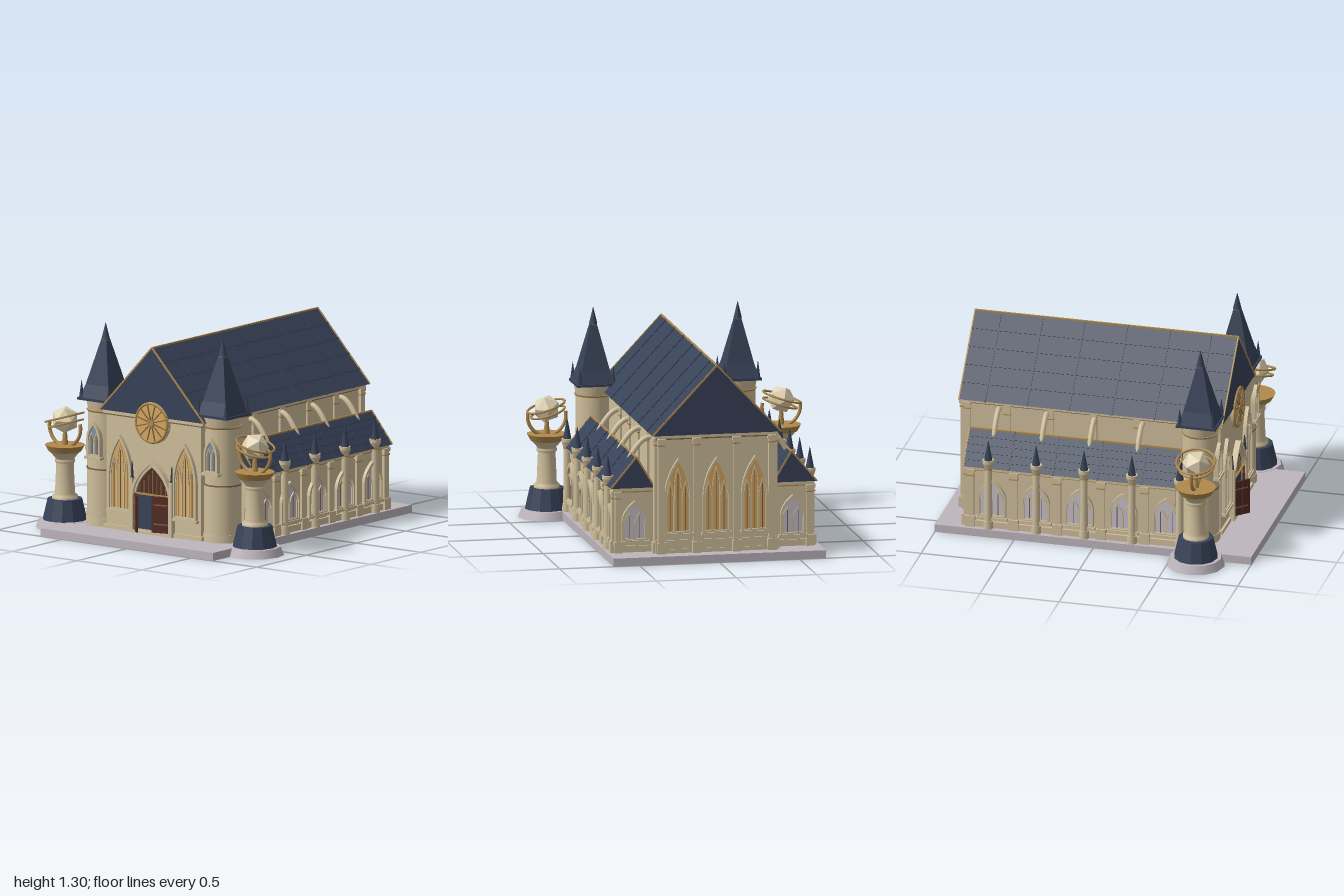
import * as THREE from 'three';

const mat = (name, color) => {
  const m = new THREE.MeshStandardMaterial({ color });
  m.name = name;
  return m;
};

export function createModel() {
  const root = new THREE.Group();
  root.name = 'cathedral';
  const stone = mat('cream stone', 0xcfbe9b), slate = mat('navy slate', 0x384258), gold = mat('gold', 0xb08a4c);
  const amber = mat('amber glass', 0xd6a760), lilac = mat('lilac glass', 0xc6bfca), blue = mat('blue glass', 0x7d94b4);
  const wood = mat('brown wood', 0x552c24), paving = mat('grey paving', 0xbdb6bd), trim = mat('dark trim', 0x7a6244);
  const crystal = mat('pale crystal', 0xe0d3b4);

  const add = (parent, name, geo, m, x = 0, y = 0, z = 0) => {
    const o = new THREE.Mesh(geo, m);
    o.name = name;
    o.position.set(x, y, z);
    parent.add(o);
    return o;
  };
  const group = (name, x = 0, y = 0, z = 0, ry = 0, parent = root) => {
    const g = new THREE.Group();
    g.name = name;
    g.position.set(x, y, z);
    g.rotation.y = ry;
    parent.add(g);
    return g;
  };
  // box given by its bounds
  const box = (p, name, m, x0, x1, y0, y1, z0, z1) =>
    add(p, name, new THREE.BoxGeometry(x1 - x0, y1 - y0, z1 - z0), m, (x0 + x1) / 2, (y0 + y1) / 2, (z0 + z1) / 2);
  const cyl = (p, name, m, rt, rb, y0, y1, x = 0, z = 0, n = 24) =>
    add(p, name, new THREE.CylinderGeometry(rt, rb, y1 - y0, n), m, x, (y0 + y1) / 2, z);
  // bar from a to b in the xy plane, with depth in z
  const bar = (p, name, m, a, b, z, thick, depth) => {
    const dx = b[0] - a[0], dy = b[1] - a[1];
    const o = add(p, name, new THREE.BoxGeometry(Math.hypot(dx, dy), thick, depth), m, (a[0] + b[0]) / 2, (a[1] + b[1]) / 2, z);
    o.rotation.z = Math.atan2(dy, dx);
    return o;
  };

  // pointed arch outline and windows built from it
  const arch = (path, w, h, s, y0 = 0, x = 0) => {
    path.moveTo(x - w, y0);
    path.lineTo(x + w, y0);
    path.lineTo(x + w, s);
    path.quadraticCurveTo(x + w * 0.95, s + (h - s) * 0.55, x, h);
    path.quadraticCurveTo(x - w * 0.95, s + (h - s) * 0.55, x - w, s);
    path.closePath();
    return path;
  };
  const archFrame = (p, name, m, w, h, s, t, z0, depth, x = 0, y0 = 0) => {
    const shape = arch(new THREE.Shape(), w, h, s, y0, x);
    shape.holes.push(arch(new THREE.Path(), w - t, h - t * 1.7, s, y0 + t, x));
    return add(p, name, new THREE.ExtrudeGeometry(shape, { depth, bevelEnabled: false, curveSegments: 8 }), m, 0, 0, z0);
  };
  const pane = (p, name, m, w, h, s, z, y0 = 0) =>
    add(p, name, new THREE.ShapeGeometry(arch(new THREE.Shape(), w, h, s, y0), 8), m, 0, 0, z);
  const lancetWindow = (x, y, z, ry, w, h, glass, lancets) => {
    const g = group('pointedWindow', x, y, z, ry), s = h * 0.5, t = 0.013;
    pane(g, 'glass', glass, w - 0.005, h - 0.01, s, 0.006);
    archFrame(g, 'windowFrame', stone, w, h, s, t, -0.01, 0.032);
    const lw = (w - t) / lancets;
    for (let i = 0; i < lancets; i++) {
      const lx = (i - (lancets - 1) / 2) * 2 * lw, mid = lancets === 3 && i === 1;
      archFrame(g, 'lancet', stone, lw, h * (mid ? 0.88 : 0.7), h * (mid ? 0.6 : 0.42), 0.006, 0.004, 0.01, lx, 0.01);
      box(g, 'leadBar', trim, lx - 0.002, lx + 0.002, 0.015, h * (mid ? 0.8 : 0.62), 0.005, 0.01);
    }
    box(g, 'sill', stone, -w - 0.01, w + 0.01, -0.014, 0.004, -0.01, 0.03);
  };

  // gabled roof with battens, seams and gold edging
  const gableRoof = (name, cx, halfL, halfR, y0, y1, z0, z1, rows, seams) => {
    const g = group(name);
    const L = [cx - halfL, y0], R = [cx + halfR, y0], T = [cx, y1];
    const shape = new THREE.Shape([L, R, T].map(([x, y]) => new THREE.Vector2(x, y)));
    add(g, 'roofBody', new THREE.ExtrudeGeometry(shape, { depth: z1 - z0, bevelEnabled: false }), slate, 0, 0, z0);
    for (const E of [L, R]) {
      for (let i = 1; i < rows; i++) {
        const t = i / rows, x = E[0] + (T[0] - E[0]) * t, y = E[1] + (T[1] - E[1]) * t;
        const b = box(g, 'batten', slate, x - 0.006, x + 0.006, y - 0.005, y + 0.005, z0, z1);
        b.rotation.z = Math.atan2(T[1] - E[1], T[0] - E[0]);
      }
      for (const z of seams) bar(g, 'roofSeam', slate, E, T, z, 0.012, 0.008);
      for (const z of [z0, z1]) bar(g, 'gableTrim', gold, E, T, z, 0.01, 0.008);
    }
    box(g, 'ridge', gold, cx - 0.005, cx + 0.005, y1 - 0.006, y1 + 0.004, z0, z1);
    return g;
  };
  const pilaster = (x, y0, y1, z, w, d, ry) => {
    const g = group('pilaster', x, 0, z, ry);
    box(g, 'shaft', stone, -w / 2, w / 2, y0, y1, -0.01, d);
    box(g, 'foot', stone, -w / 2 - 0.008, w / 2 + 0.008, y0, y0 + 0.07, -0.01, d + 0.01);
    box(g, 'capLine', gold, -w / 2 - 0.004, w / 2 + 0.004, y1 - 0.035, y1 - 0.028, -0.01, d + 0.004);
    box(g, 'cap', stone, -w / 2 - 0.006, w / 2 + 0.006, y1 - 0.012, y1 + 0.01, -0.01, d + 0.006);
  };

  // base and nave
  box(root, 'basePlate', paving, -0.665, 0.665, 0, 0.05, -1, 1);
  box(root, 'naveWalls', stone, -0.365, 0.365, 0.05, 0.79, -0.89, 0.73);
  box(root, 'navePlinth', stone, -0.38, 0.38, 0.05, 0.075, -0.905, 0.745);
  box(root, 'backPlinth', stone, -0.378, 0.378, 0.075, 0.13, -0.9, -0.8);
  box(root, 'naveCornice', stone, -0.385, 0.385, 0.765, 0.79, -0.9, 0.742);
  box(root, 'corniceLine', trim, -0.376, 0.376, 0.757, 0.765, -0.897, 0.738);
  gableRoof('naveRoof', 0, 0.403, 0.403, 0.785, 1.213, -0.915, 0.748, 5, [0.58, 0.32, 0.05, -0.22, -0.485, -0.75]);

  // back wall
  for (const x of [-0.24, 0, 0.24]) lancetWindow(x, 0.17, -0.89, Math.PI, 0.085, 0.47, amber, 3);
  for (const x of [-0.345, -0.125, 0.125, 0.345]) pilaster(x, 0.05, 0.755, -0.89, 0.04, 0.025, Math.PI);

  // rose window
  const rose = group('roseWindow', 0, 0.745, 0.735);
  const disc = (name, m, r, z) => add(rose, name, new THREE.CylinderGeometry(r, r, 0.02, 40).rotateX(Math.PI / 2), m, 0, 0, z);
  disc('roseSurround', stone, 0.13, 0.004);
  disc('roseGlass', amber, 0.117, 0.009);
  add(rose, 'roseRing', new THREE.TorusGeometry(0.12, 0.009, 8, 40), gold, 0, 0, 0.016);
  for (let i = 0; i < 6; i++) {
    add(rose, 'spoke', new THREE.BoxGeometry(0.23, 0.006, 0.008), trim, 0, 0, 0.02).rotation.z = (i * Math.PI) / 6 + 0.26;
  }
  disc('hub', gold, 0.02, 0.018);

  // main doorway
  const portal = group('mainDoorway', 0, 0.05, 0.73);
  archFrame(portal, 'outerArch', stone, 0.155, 0.47, 0.23, 0.018, -0.01, 0.045);
  archFrame(portal, 'innerArch', stone, 0.14, 0.44, 0.23, 0.012, -0.01, 0.03);
  pane(portal, 'tympanum', wood, 0.132, 0.425, 0.23, 0.005);
  box(portal, 'darkInterior', slate, -0.11, 0.11, 0.02, 0.24, 0.002, 0.008);
  box(portal, 'transom', gold, -0.13, 0.13, 0.24, 0.25, 0, 0.02);
  for (let i = -3; i <= 3; i++) {
    box(portal, 'tympanumBar', trim, i * 0.033 - 0.003, i * 0.033 + 0.003, 0.25, 0.4 - Math.abs(i) * 0.035, 0.004, 0.012);
  }
  for (const [side, angle] of [[-1, -0.8], [1, 0.25]]) {
    const leaf = group('doorLeaf', side * 0.132, 0.02, 0.018, angle, portal);
    const s = (a, b) => [Math.min(-side * a, -side * b), Math.max(-side * a, -side * b)];
    box(leaf, 'doorPanel', wood, ...s(0, 0.115), 0, 0.225, -0.007, 0.007);
    for (const y of [0.05, 0.17]) box(leaf, 'hingeStrap', trim, ...s(0.005, 0.1), y, y + 0.008, -0.01, 0.01);
    for (const a of [0.03, 0.06, 0.09]) box(leaf, 'plankGap', trim, ...s(a, a + 0.002), 0.005, 0.22, -0.008, 0.008);
  }

  for (const s of [-1, 1]) {
    const out = (s * Math.PI) / 2;
    // facade windows and portal pinnacles
    lancetWindow(s * 0.25, 0.17, 0.73, 0, 0.09, 0.47, amber, 3);
    box(root, 'portalPier', stone, s * 0.153 - 0.012, s * 0.153 + 0.012, 0.05, 0.39, 0.72, 0.765);
    cyl(root, 'portalPinnacle', slate, 0.003, 0.013, 0.39, 0.49, s * 0.153, 0.748, 4);

    // round tower with steep square roof
    const t = group('tower', s * 0.452, 0, 0.625);
    cyl(t, 'towerFoot', stone, 0.12, 0.122, 0.05, 0.1);
    cyl(t, 'lowerShaft', stone, 0.115, 0.116, 0.1, 0.4);
    cyl(t, 'beltLine', trim, 0.117, 0.117, 0.398, 0.406);
    cyl(t, 'upperShaft', stone, 0.108, 0.11, 0.406, 0.76);
    cyl(t, 'capLine', gold, 0.117, 0.113, 0.755, 0.765);
    cyl(t, 'towerCap', stone, 0.12, 0.108, 0.765, 0.83);
    box(t, 'eaves', slate, -0.125, 0.125, 0.825, 0.84, -0.125, 0.125);
    const q = Math.SQRT2;
    for (const [y0, y1, r0, r1] of [[0.84, 0.92, 0.115, 0.087], [0.92, 1.2, 0.087, 0.019]]) {
      const geo = new THREE.CylinderGeometry(r1 * q, r0 * q, y1 - y0, 4).rotateY(Math.PI / 4).toNonIndexed();
      geo.computeVertexNormals();
      add(t, 'towerRoof', geo, slate, 0, (y0 + y1) / 2, 0);
    }
    cyl(t, 'finialCollar', trim, 0.024, 0.024, 1.19, 1.2, 0, 0, 12);
    cyl(t, 'finial', slate, 0.001, 0.026, 1.2, 1.3, 0, 0, 12);
    for (const a of [-1, 1]) for (const b of [-1, 1]) cyl(t, 'cornerSpike', slate, 0.001, 0.016, 0.84, 0.945, a * 0.105, b * 0.105, 6);
    lancetWindow(s * 0.452, 0.48, 0.731, 0, 0.052, 0.22, blue, 2);

    // side aisle
    const ax = (a, b) => [Math.min(s * a, s * b), Math.max(s * a, s * b)];
    box(root, 'aisleWalls', stone, ...ax(0.36, 0.615), 0.05, 0.45, -0.81, 0.51);
    box(root, 'aislePlinth', stone, ...ax(0.36, 0.63), 0.05, 0.09, -0.822, 0.522);
    box(root, 'aisleCornice', stone, ...ax(0.36, 0.63), 0.43, 0.452, -0.82, 0.52);
    box(root, 'aisleCorniceLine', gold, ...ax(0.36, 0.622), 0.422, 0.43, -0.815, 0.515);
    gableRoof('aisleRoof', s * 0.485, s > 0 ? 0.115 : 0.16, s > 0 ? 0.16 : 0.115, 0.45, 0.643, -0.825, 0.52, 5, [0.3, 0.02, -0.26, -0.54]);
    for (let i = 0; i < 5; i++) lancetWindow(s * 0.615, 0.12, 0.455 - i * 0.276, out, 0.09, 0.25, lilac, 2);
    for (let i = 0; i < 4; i++) pilaster(s * 0.615, 0.05, 0.42, 0.317 - i * 0.276, 0.045, 0.018, out);
    pilaster(s * 0.615, 0.05, 0.42, -0.785, 0.045, 0.018, out);
    lancetWindow(s * 0.495, 0.12, -0.81, Math.PI, 0.08, 0.25, lilac, 2);
    pilaster(s * 0.6, 0.05, 0.42, -0.81, 0.035, 0.02, Math.PI);
    const sideDoor = group('sideDoor', s * 0.575, 0.08, 0.51);
    pane(sideDoor, 'doorPanel', wood, 0.036, 0.21, 0.13, 0.006);
    archFrame(sideDoor, 'doorFrame', stone, 0.04, 0.22, 0.13, 0.008, -0.005, 0.022);

    // clerestory strips and rear corner buttress
    for (let i = 0; i < 4; i++) {
      const z = 0.2 - i * 0.272;
      box(root, 'clerestoryStrip', stone, ...ax(0.36, 0.378), 0.45, 0.765, z - 0.022, z + 0.022);
      box(root, 'stripCap', gold, ...ax(0.36, 0.381), 0.7, 0.707, z - 0.024, z + 0.024);
    }
    pilaster(s * 0.365, 0.05, 0.755, -0.868, 0.035, 0.02, out);

    // round buttress piers and flying buttresses
    for (let i = 0; i < 5; i++) {
      const z = 0.54 - i * 0.3025, p = group('buttressPier', s * 0.632, 0, z);
      cyl(p, 'pierFoot', stone, 0.03, 0.032, 0.05, 0.1, 0, 0, 12);
      cyl(p, 'pierShaft', stone, 0.022, 0.025, 0.1, 0.45, 0, 0, 12);
      cyl(p, 'pierRing', gold, 0.027, 0.027, 0.443, 0.451, 0, 0, 12);
      cyl(p, 'pierCapital', stone, 0.036, 0.023, 0.451, 0.485, 0, 0, 12);
      cyl(p, 'capitalTop', stone, 0.036, 0.036, 0.485, 0.505, 0, 0, 12);
      cyl(p, 'pinnacle', slate, 0.001, 0.026, 0.505, 0.635, 0, 0, 8);
      if (i === 0) continue;
      const curve = new THREE.QuadraticBezierCurve3(new THREE.Vector3(s * 0.36, 0.735, z),
        new THREE.Vector3(s * 0.425, 0.745, z), new THREE.Vector3(s * 0.5, 0.6, z));
      add(root, 'flyingButtress', new THREE.TubeGeometry(curve, 8, 0.017, 8), stone);
    }

    // free-standing column carrying an armillary crystal
    const c = group('armillaryColumn', s * 0.733, 0, 0.668);
    cyl(c, 'footDisc', paving, 0.16, 0.18, 0, 0.052, 0, 0, 12);
    const ped = new THREE.CylinderGeometry(0.107, 0.137, 0.13, 12).toNonIndexed();
    ped.computeVertexNormals();
    add(c, 'pedestal', ped, slate, 0, 0.117, 0);
    const prof = [[0.08, 0.18], [0.08, 0.2], [0.062, 0.215], [0.054, 0.4], [0.062, 0.41], [0.062, 0.425], [0.056, 0.43], [0.095, 0.475]];
    add(c, 'columnShaft', new THREE.LatheGeometry(prof.map(([r, y]) => new THREE.Vector2(r, y)), 24), stone);
    cyl(c, 'goldDish', gold, 0.122, 0.1, 0.475, 0.515);
    cyl(c, 'crystalStem', gold, 0.012, 0.02, 0.51, 0.6, 0, 0, 12);
    const arc = add(c, 'cradleArc', new THREE.TorusGeometry(0.12, 0.011, 8, 32, Math.PI * 1.15), gold, 0, 0.625, 0);
    arc.rotation.z = Math.PI * 0.925;
    const globe = group('tiltedGlobe', 0, 0.67, 0, 0, c);
    globe.rotation.z = -s * 0.3;
    for (const [r, y] of [[0.12, 0.015], [0.108, -0.025]]) {
      add(globe, 'orbitRing', new THREE.TorusGeometry(r, 0.007, 6, 36).rotateX(Math.PI / 2), gold, 0, y, 0);
    }
    const gem = new THREE.IcosahedronGeometry(0.088, 0).rotateX(0.55);
    add(globe, 'crystal', gem, crystal);
  }
  return root;
}
